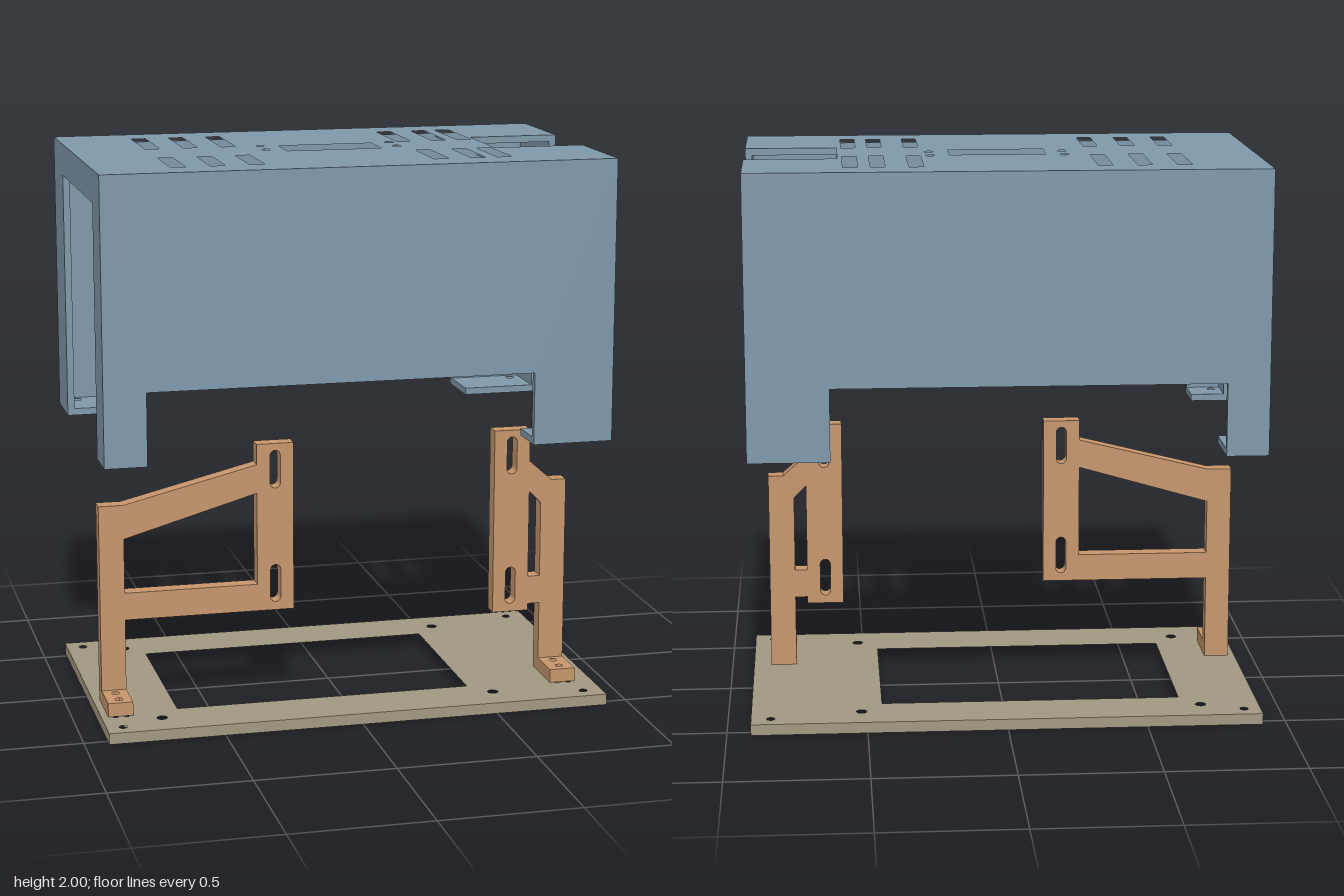
import * as THREE from 'three';

const coverBlue = new THREE.MeshStandardMaterial({ color: 0x7f98aa });
const bracketTan = new THREE.MeshStandardMaterial({ color: 0xc6966c });
const baseGrey = new THREE.MeshStandardMaterial({ color: 0xa29882 });

// Outline helpers
const poly = (pts) => pts.map(([x, y]) => new THREE.Vector2(x, y));
const rect = (x0, x1, y0, y1) => poly([[x0, y0], [x1, y0], [x1, y1], [x0, y1]]);
const circle = (x, y, r, n = 16) => Array.from({ length: n }, (_, i) => {
  const a = (i / n) * Math.PI * 2;
  return new THREE.Vector2(x + r * Math.cos(a), y + r * Math.sin(a));
});
// Upright slot with round ends
const slot = (x, y0, y1, r, n = 8) => {
  const pts = [];
  for (let i = 0; i <= n; i++) {
    const a = (i / n) * Math.PI;
    pts.push(new THREE.Vector2(x + r * Math.cos(a), y1 - r + r * Math.sin(a)));
  }
  for (let i = 0; i <= n; i++) {
    const a = Math.PI + (i / n) * Math.PI;
    pts.push(new THREE.Vector2(x + r * Math.cos(a), y0 + r + r * Math.sin(a)));
  }
  return pts;
};

// Flat sheet with holes, extruded along z
function sheet(outline, holes, depth) {
  const shape = new THREE.Shape(outline);
  holes.forEach((h) => shape.holes.push(new THREE.Path(h)));
  return new THREE.ExtrudeGeometry(shape, { depth, bevelEnabled: false });
}
const part = (name, geo, mat, parent) => {
  const mesh = new THREE.Mesh(geo, mat);
  mesh.name = name;
  parent.add(mesh);
};
// Sheets by orientation: floor points are (x, z), side points are (z, y)
const flipFirst = (pts) => pts.map((p) => new THREE.Vector2(-p.x, p.y));
const flipSecond = (pts) => pts.map((p) => new THREE.Vector2(p.x, -p.y));
const floorSheet = (outline, holes, y, t) =>
  sheet(flipSecond(outline), holes.map(flipSecond), t).rotateX(-Math.PI / 2).translate(0, y, 0);
const sideSheet = (outline, x, t) =>
  sheet(flipFirst(outline), [], t).rotateY(Math.PI / 2).translate(x, 0, 0);
const wallSheet = (outline, holes, z, t) => sheet(outline, holes, t).translate(0, 0, z);

function buildBase() {
  const g = new THREE.Group();
  g.name = 'base';
  const holes = [rect(-0.635, 0.445, -0.33, 0.325)];
  for (const z of [-0.475, 0.475]) for (const x of [-0.855, 0.845]) holes.push(circle(x, z, 0.015));
  for (const z of [-0.415, 0.41]) for (const x of [-0.705, 0.52]) holes.push(circle(x, z, 0.019));
  // Adjustment slots beneath the bracket feet
  for (const x of [-0.865, -0.825, 0.785, 0.825]) holes.push(slot(x, 0.24, 0.37, 0.011));
  part('basePlate', floorSheet(rect(-0.915, 0.915, -0.535, 0.535), holes, 0, 0.04), baseGrey, g);
  return g;
}

function buildBracket(name, outline, holes, x0, x1) {
  const g = new THREE.Group();
  g.name = name;
  part('bracketFrame', wallSheet(outline, holes, 0.155, 0.06), bracketTan, g);
  const mid = (x0 + x1) / 2;
  const bolts = [0.25, 0.32].map((z) => circle(mid, z, 0.014));
  part('bracketFoot', floorSheet(rect(x0, x1, 0.215, 0.36), bolts, 0.04, 0.05), bracketTan, g);
  return g;
}

function buildCover() {
  const g = new THREE.Group();
  g.name = 'cover';
  const t = 0.025, low = 0.99, roof = 2 - t;

  // Top with vents, centre window, screw holes and a cable notch
  const holes = [rect(-0.165, 0.18, -0.08, 0.065)];
  for (const x of [-0.622, -0.483, -0.345, 0.31, 0.443, 0.538]) {
    holes.push(rect(x - 0.026, x + 0.026, -0.4, -0.1), rect(x - 0.026, x + 0.026, 0.15, 0.4));
  }
  for (const x of [-0.23, 0.25]) for (const z of [-0.09, 0.015]) holes.push(circle(x, z, 0.016));
  const top = poly([[-0.915, -0.535], [0.91, -0.535], [0.91, -0.16], [0.58, -0.16],
    [0.58, 0.15], [0.91, 0.15], [0.91, 0.535], [-0.915, 0.535]]);
  part('coverTop', floorSheet(top, holes, roof, t), coverBlue, g);

  // Long walls with a wide cut-out between the legs
  const wall = poly([[-0.915, low], [-0.765, low], [-0.765, 1.25], [0.62, 1.25],
    [0.62, low], [0.91, low], [0.91, roof], [-0.915, roof]]);
  part('frontWall', wallSheet(wall, [], 0.535 - t, t), coverBlue, g);
  part('backWall', wallSheet(wall, [], -0.535, t), coverBlue, g);

  // End walls: an arch on one end, two halves on the notched end
  const e = 0.535 - t;
  part('archedEndWall', sideSheet(poly([[-e, low], [-0.32, low], [-0.32, 1.885], [0.38, 1.885],
    [0.38, low], [e, low], [e, roof], [-e, roof]]), -0.915, t), coverBlue, g);
  for (const [outer, leg, notch] of [[-e, -0.32, -0.16], [e, 0.38, 0.15]]) {
    part('notchedEndWall', sideSheet(poly([[outer, low], [leg, low], [leg, 1.81],
      [notch, 1.81], [notch, roof], [outer, roof]]), 0.91 - t, t), coverBlue, g);
  }

  // Screw flanges at the bottom of the legs
  for (const [x0, x1, hx] of [[-0.915 + t, -0.765, -0.855], [0.62, 0.91 - t, 0.845]]) {
    for (const [z0, z1, hz] of [[-e, -0.32, -0.475], [0.38, e, 0.475]]) {
      part('legFlange', floorSheet(rect(x0, x1, z0, z1), [circle(hx, hz, 0.015)], low, t), coverBlue, g);
    }
  }
  return g;
}

export function createModel() {
  const model = new THREE.Group();
  model.name = 'explodedEnclosure';
  model.add(buildBase(), buildCover());

  // Wide bracket with a sloping arm
  model.add(buildBracket('wideBracket',
    poly([[-0.89, 0.04], [-0.8, 0.04], [-0.8, 0.35], [-0.18, 0.35], [-0.18, 0.97],
      [-0.315, 0.97], [-0.315, 0.895], [-0.8, 0.775], [-0.89, 0.775]]),
    [poly([[-0.8, 0.45], [-0.315, 0.45], [-0.315, 0.79], [-0.8, 0.65]]),
      slot(-0.247, 0.805, 0.945, 0.019), slot(-0.247, 0.38, 0.52, 0.019)],
    -0.89, -0.8));

  // Narrow bracket
  model.add(buildBracket('narrowBracket',
    poly([[0.755, 0.04], [0.85, 0.04], [0.85, 0.775], [0.795, 0.775], [0.71, 0.85], [0.71, 0.97],
      [0.575, 0.97], [0.575, 0.28], [0.71, 0.28], [0.71, 0.305], [0.755, 0.305]]),
    [poly([[0.71, 0.41], [0.755, 0.41], [0.755, 0.69], [0.71, 0.735]]),
      slot(0.642, 0.805, 0.945, 0.019), slot(0.642, 0.31, 0.45, 0.019)],
    0.755, 0.85));
  return model;
}
